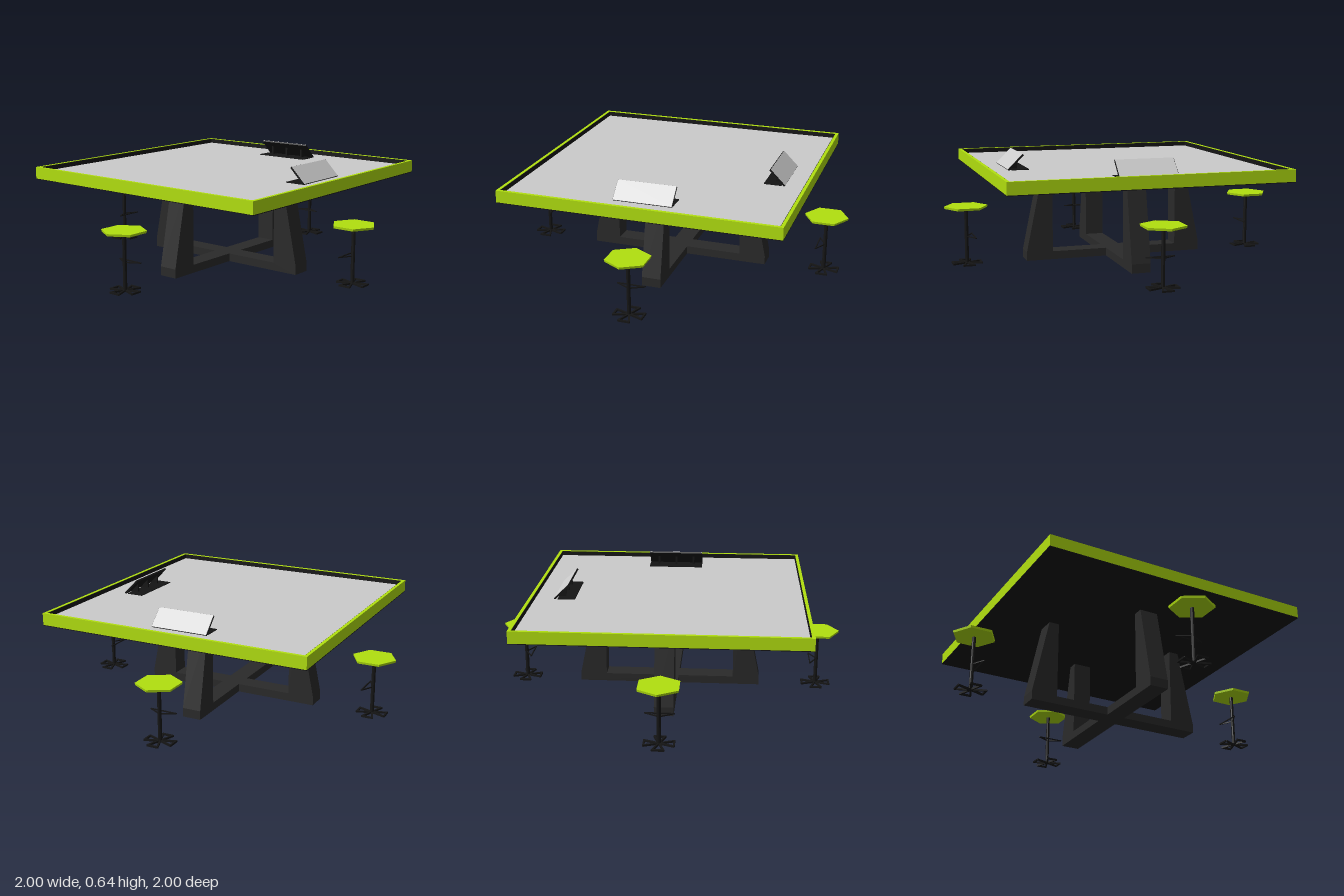
import * as THREE from 'three';

const mat = (color) => new THREE.MeshStandardMaterial({ color, flatShading: true });
const GREEN = mat(0xb2e00f), GREY = mat(0xcccccc), DARK = mat(0x2a2a2a), BLACK = mat(0x151515);

function add(parent, name, geometry, material, x = 0, y = 0, z = 0) {
  const mesh = new THREE.Mesh(geometry, material);
  mesh.name = name;
  mesh.position.set(x, y, z);
  parent.add(mesh);
  return mesh;
}

const box = (w, h, d) => new THREE.BoxGeometry(w, h, d);

function polygon(points) {
  return new THREE.Shape(points.map(([x, y]) => new THREE.Vector2(x, y)));
}

// Extrudes a profile drawn in x/y, centred along z
function slab(points, depth) {
  return new THREE.ExtrudeGeometry(polygon(points), { depth, bevelEnabled: false }).translate(0, 0, -depth / 2);
}

// Square ring lying flat, its bottom at y = 0
function squareRing(outer, inner, height) {
  const square = (r) => [[-r, -r], [r, -r], [r, r], [-r, r]];
  const shape = polygon(square(outer));
  shape.holes.push(polygon(square(inner)));
  return new THREE.ExtrudeGeometry(shape, { depth: height, bevelEnabled: false }).rotateX(-Math.PI / 2);
}

// Flat triangular loop of thin bars, points given as [x, z]
function barLoop(parent, name, points, y, thickness) {
  points.forEach(([x0, z0], i) => {
    const [x1, z1] = points[(i + 1) % points.length];
    const length = Math.hypot(x1 - x0, z1 - z0);
    const bar = add(parent, name, box(length + thickness * 0.6, thickness, thickness), BLACK,
      (x0 + x1) / 2, y, (z0 + z1) / 2);
    bar.rotation.y = -Math.atan2(z1 - z0, x1 - x0);
  });
}

function tableTop() {
  const g = new THREE.Group();
  g.name = 'tableTop';
  add(g, 'rim', squareRing(0.793, 0.775, 0.068), GREEN, 0, 0.512, 0);
  add(g, 'rimLining', squareRing(0.7755, 0.772, 0.066), BLACK, 0, 0.512, 0);
  add(g, 'underside', box(1.586, 0.004, 1.586), BLACK, 0, 0.51, 0);
  add(g, 'surface', box(1.546, 0.04, 1.546), GREY, 0, 0.532, 0);
  return g;
}

// One U-shaped frame: two tapered legs joined by a low beam
function legFrame() {
  const g = new THREE.Group();
  g.name = 'legFrame';
  const half = [[0.535, 0.003], [0.535, 0.055], [0.44, 0.51], [0.38, 0.51], [0.38, 0.05]];
  const mirrored = half.map(([x, y]) => [-x, y]).reverse();
  add(g, 'legs', slab([...half, ...mirrored], 0.11), DARK);
  return g;
}

// Tilted screen on a stand; the screen faces +x
function monitor() {
  const g = new THREE.Group();
  g.name = 'monitor';
  const w = 0.335;
  add(g, 'standPlate', box(0.1, 0.004, w), BLACK, 0.59, 0.554, 0);
  const screen = new THREE.Group();
  screen.name = 'screen';
  screen.position.set(0.615, 0.596, 0);
  screen.rotation.z = -Math.PI / 4;
  add(screen, 'screenBack', box(0.122, 0.01, w), BLACK);
  add(screen, 'screenFace', box(0.12, 0.003, w - 0.004), GREY, 0, 0.005, 0);
  g.add(screen);
  for (const z of [-0.11, 0, 0.11]) {
    add(g, 'gusset', slab([[0.598, 0.554], [0.65, 0.554], [0.598, 0.606]], 0.012), BLACK, 0, 0, z);
  }
  return g;
}

// Hexagonal stool standing at +x, footrest towards the table
function stool() {
  const g = new THREE.Group();
  g.name = 'stool';
  const s = new THREE.Group();
  s.position.x = 0.875;
  g.add(s);
  const seat = new THREE.CylinderGeometry(0.125, 0.122, 0.013, 6).rotateY(Math.PI / 2);
  add(s, 'seat', seat, GREEN, 0, 0.331, 0);
  add(s, 'pole', new THREE.CylinderGeometry(0.011, 0.011, 0.318, 10), BLACK, 0, 0.167, 0);
  barLoop(s, 'footrest', [[0, 0], [-0.042, 0.078], [-0.042, -0.078]], 0.16, 0.006);
  for (let i = 0; i < 4; i++) {
    const foot = new THREE.Group();
    foot.name = 'foot';
    foot.rotation.y = i * Math.PI / 2;
    barLoop(foot, 'footBar', [[0, 0], [0.08, 0.03], [0.08, -0.03]], 0.006, 0.01);
    s.add(foot);
  }
  return g;
}

export function createModel() {
  const model = new THREE.Group();
  model.name = 'gameTable';
  model.add(tableTop());

  // Two crossed leg frames
  for (let i = 0; i < 2; i++) {
    const frame = legFrame();
    frame.rotation.y = i * Math.PI / 2;
    model.add(frame);
  }
  // Monitors by the +x and -z edges
  for (let i = 0; i < 2; i++) {
    const m = monitor();
    m.rotation.y = i * Math.PI / 2;
    model.add(m);
  }
  // One stool on each side
  for (let i = 0; i < 4; i++) {
    const s = stool();
    s.rotation.y = i * Math.PI / 2;
    model.add(s);
  }
  return model;
}
